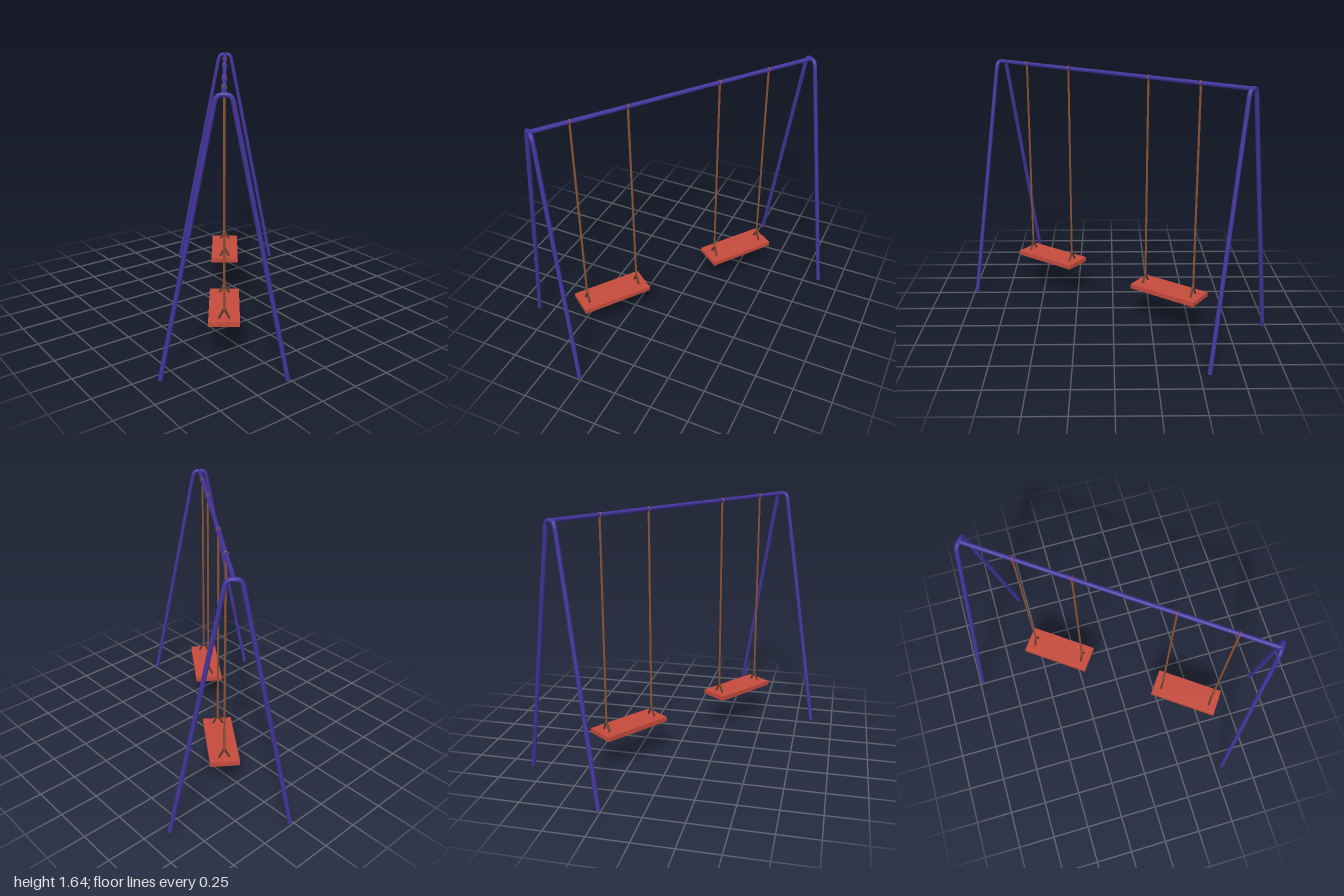
import * as THREE from 'three';

const paint = new THREE.MeshStandardMaterial({ color: 0x43339a });
const seatRed = new THREE.MeshStandardMaterial({ color: 0xc44a3c });
const ropeBrown = new THREE.MeshStandardMaterial({ color: 0x8a5234 });
const bracketBrown = new THREE.MeshStandardMaterial({ color: 0x5a3a2c });

const R = 0.0135, BEAM_Y = 1.621, HALF = 0.952;
const v = (x, y, z) => new THREE.Vector3(x, y, z);

function add(parent, name, geometry, material) {
  const mesh = new THREE.Mesh(geometry, material);
  mesh.name = name;
  parent.add(mesh);
  return mesh;
}

// Straight round bar between two points
function bar(parent, name, a, b, radius, material, sides = 12) {
  const d = b.clone().sub(a);
  const mesh = add(parent, name, new THREE.CylinderGeometry(radius, radius, d.length(), sides), material);
  mesh.position.copy(a).add(b).multiplyScalar(0.5);
  mesh.quaternion.setFromUnitVectors(v(0, 1, 0), d.normalize());
  return mesh;
}

// Bent tube: two splayed legs joined by a rounded top
function legFrame(x) {
  const group = new THREE.Group();
  group.name = 'legFrame';
  const foot = 0.362, shoulder = 0.049, shoulderY = 1.58;
  const bend = new THREE.CurvePath();
  bend.add(new THREE.QuadraticBezierCurve3(v(x, shoulderY, -shoulder), v(x, BEAM_Y, -0.041), v(x, BEAM_Y, -0.01)));
  bend.add(new THREE.LineCurve3(v(x, BEAM_Y, -0.01), v(x, BEAM_Y, 0.01)));
  bend.add(new THREE.QuadraticBezierCurve3(v(x, BEAM_Y, 0.01), v(x, BEAM_Y, 0.041), v(x, shoulderY, shoulder)));
  add(group, 'topBend', new THREE.TubeGeometry(bend, 32, R, 12), paint);
  for (const s of [-1, 1]) bar(group, 'leg', v(x, 0, s * foot), v(x, shoulderY, s * shoulder), R, paint);
  return group;
}

// Plank seat hung on two ropes, each ending in a forked bracket
function swing(x) {
  const group = new THREE.Group();
  group.name = 'swing';
  add(group, 'seat', new THREE.BoxGeometry(0.469, 0.03, 0.186), seatRed).position.set(x, 0.255, 0);
  for (const s of [-1, 1]) {
    const rx = x + s * 0.18;
    bar(group, 'rope', v(rx, 0.318, 0), v(rx, BEAM_Y, 0), 0.007, ropeBrown, 10);
    const loop = add(group, 'ropeLoop', new THREE.TorusGeometry(R, 0.004, 8, 20), ropeBrown);
    loop.rotation.y = Math.PI / 2;
    loop.position.set(rx, BEAM_Y, 0);
    for (const t of [-1, 1]) {
      bar(group, 'bracketArm', v(rx, 0.325, t * 0.004), v(rx, 0.265, t * 0.033), 0.007, bracketBrown, 10);
    }
  }
  return group;
}

export function createModel() {
  const model = new THREE.Group();
  model.name = 'swingSet';
  const frame = new THREE.Group();
  frame.name = 'frame';
  // The whole set stands diagonally
  frame.rotation.y = THREE.MathUtils.degToRad(54);
  model.add(frame);

  bar(frame, 'topBeam', v(-HALF, BEAM_Y, 0), v(HALF, BEAM_Y, 0), R, paint);
  for (const s of [-1, 1]) frame.add(legFrame(s * HALF));
  for (const x of [-0.537, 0.443]) frame.add(swing(x));
  return model;
}
